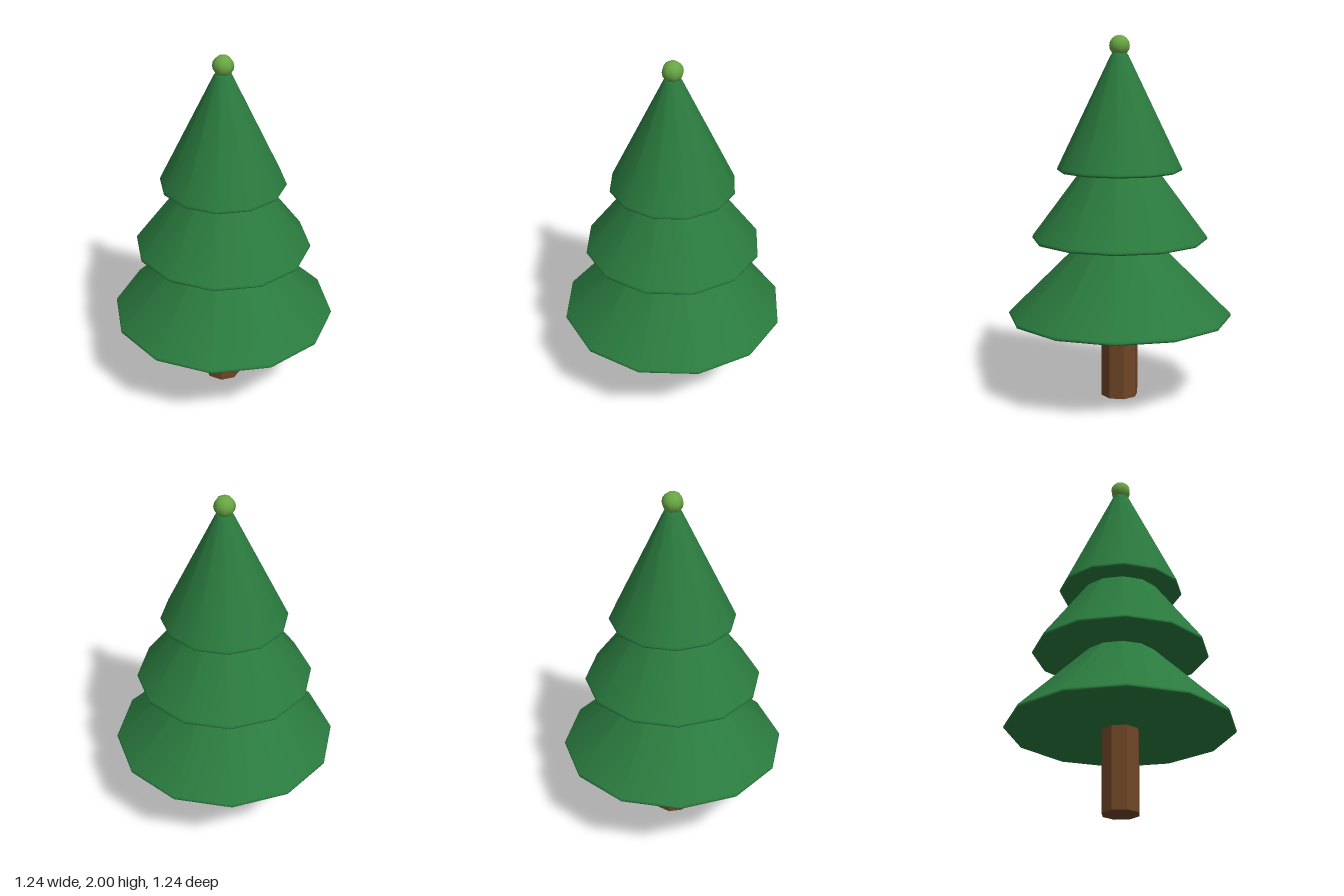
import * as THREE from 'three';

const green = new THREE.MeshStandardMaterial({ color: 0x2a7a3e });
const lightGreen = new THREE.MeshStandardMaterial({ color: 0x68a644 });
const brown = new THREE.MeshStandardMaterial({ color: 0x6e4426, flatShading: true });

const SIDES = 12;

// One skirt of branches: faceted cone with a soft rim and a flat underside
function makeTier(name, bottom, radius, top, topRadius) {
  const tier = new THREE.Group();
  tier.name = name;

  const profile = [
    [radius - 0.012, bottom],
    [radius - 0.003, bottom + 0.004],
    [radius, bottom + 0.011],
    [radius - 0.005, bottom + 0.022],
    [topRadius + 0.008, top - 0.018],
    [topRadius - 0.004, top - 0.003],
    [topRadius - 0.015, top],
    [0, top],
  ].map(([x, y]) => new THREE.Vector2(x, y));
  const cone = new THREE.Mesh(new THREE.LatheGeometry(profile, SIDES), green);
  cone.name = name + 'Branches';

  const underside = new THREE.Mesh(new THREE.CircleGeometry(radius - 0.012, SIDES), green);
  underside.name = name + 'Underside';
  underside.rotation.x = Math.PI / 2;
  underside.position.y = bottom;

  tier.add(cone, underside);
  return tier;
}

export function createModel() {
  const tree = new THREE.Group();
  tree.name = 'tree';

  // Octagonal trunk, running up into the lowest tier
  const trunk = new THREE.Mesh(new THREE.CylinderGeometry(0.103, 0.103, 0.5, 8), brown);
  trunk.name = 'trunk';
  trunk.position.y = 0.25;
  tree.add(trunk);

  // Three overlapping tiers
  tree.add(
    makeTier('lowerTier', 0.453, 0.62, 1.04, 0.055),
    makeTier('middleTier', 0.887, 0.484, 1.46, 0.075),
    makeTier('upperTier', 1.267, 0.343, 1.91, 0.04),
  );

  // Ball on the tip
  const ball = new THREE.Mesh(new THREE.SphereGeometry(0.057, 8, 8), lightGreen);
  ball.name = 'topBall';
  ball.position.y = 1.943;
  tree.add(ball);

  return tree;
}
